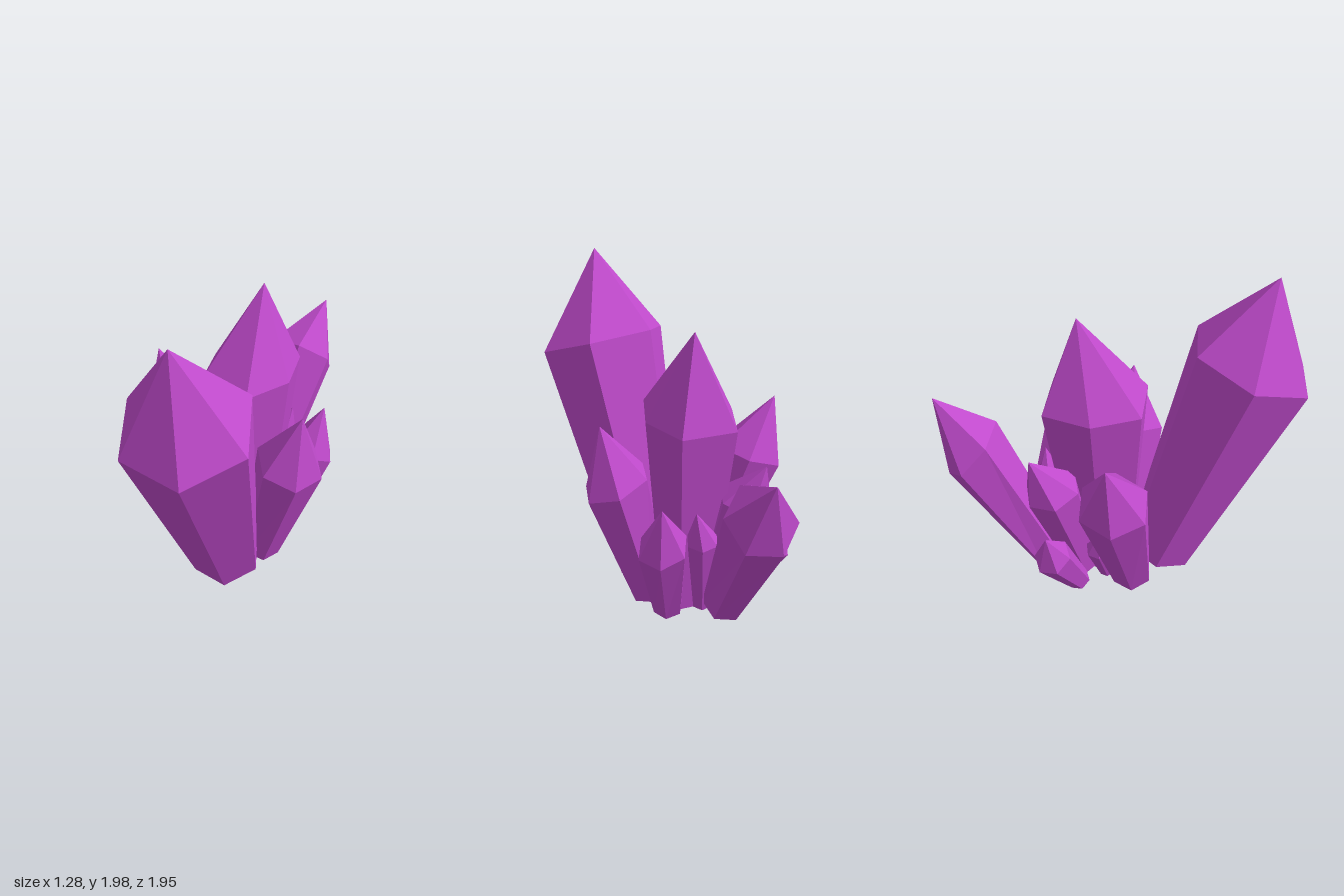
import * as THREE from 'three';

const SIDES = 6;

// Ring of corners around a centre, perpendicular to the normal n.
// dir = [x, z] heading of the first corner as seen from above.
function ring(centre, n, radius, dir, radii) {
  const u = new THREE.Vector3(dir[0], -(dir[0] * n.x + dir[1] * n.z) / n.y, dir[1]).normalize();
  const v = n.clone().cross(u);
  return Array.from({ length: SIDES }, (_, i) => {
    const a = (i / SIDES) * Math.PI * 2;
    const r = radius * (radii ? radii[i % radii.length] : 1);
    return centre.clone().addScaledVector(u, Math.cos(a) * r).addScaledVector(v, Math.sin(a) * r);
  });
}

// Tapered six-sided shaft with a leaning point and a closed base
function crystalGeometry({ base, shoulder, tip, rBase, rTop, dir, normal, radii }) {
  const b = new THREE.Vector3(...base);
  const s = new THREE.Vector3(...shoulder);
  const t = new THREE.Vector3(...tip);
  const axis = s.clone().sub(b).normalize();
  const topNormal = normal ? new THREE.Vector3(...normal).normalize() : axis;
  const low = ring(b, axis, rBase, dir, radii);
  const high = ring(s, topNormal, rTop, dir, radii);
  const points = [];
  for (let i = 0; i < SIDES; i++) {
    const j = (i + 1) % SIDES;
    points.push(low[i], low[j], high[j], low[i], high[j], high[i]); // shaft
    points.push(high[i], high[j], t); // point
    points.push(low[j], low[i], b); // base
  }
  const geometry = new THREE.BufferGeometry().setFromPoints(points);
  geometry.computeVertexNormals();
  return geometry;
}

const CRYSTALS = [
  { name: 'largeFrontCrystal', base: [-0.08, 0.095, 0.135], shoulder: [-0.295, 1.46, 0.61], tip: [-0.365, 2, 0.705],
    rBase: 0.22, rTop: 0.385, dir: [-0.04, 0.37] },
  { name: 'tallCentreCrystal', base: [0.07, 0.07, -0.17], shoulder: [0.085, 1.27, -0.2], tip: [0.157, 1.8, -0.268],
    rBase: 0.19, rTop: 0.33, dir: [0.047, -0.33], radii: [1, 0.8, 0.97] },
  { name: 'frontLeftCrystal', base: [0.14, 0.055, 0.025], shoulder: [0.293, 0.84, 0.165], tip: [0.35, 1.21, 0.23],
    rBase: 0.122, rTop: 0.208, dir: [0.02, 0.195], normal: [0.25, 1, 0.29] },
  { name: 'backRightCrystal', base: [-0.2, 0.1, -0.14], shoulder: [-0.37, 0.89, -0.37], tip: [-0.466, 1.245, -0.476],
    rBase: 0.125, rTop: 0.212, dir: [-0.19, 0.09], normal: [-0.3, 1, -0.2] },
  { name: 'backLeftCrystal', base: [0.17, 0.16, -0.49], shoulder: [0.45, 0.955, -0.83], tip: [0.613, 1.268, -0.975],
    rBase: 0.13, rTop: 0.218, dir: [0.18, 0], normal: [0.58, 1, -0.89] },
  { name: 'backCrystal', base: [0.06, 0.09, -0.33], shoulder: [0.03, 0.8, -0.54], tip: [0.045, 1.05, -0.67],
    rBase: 0.1, rTop: 0.168, dir: [-0.015, -0.16] },
  { name: 'smallBackCrystal', base: [-0.065, 0.09, -0.44], shoulder: [-0.135, 0.45, -0.65], tip: [-0.16, 0.63, -0.7],
    rBase: 0.07, rTop: 0.115, dir: [-0.015, -0.09] },
  { name: 'tinyBackCrystal', base: [-0.08, 0.08, -0.25], shoulder: [-0.17, 0.4, -0.36], tip: [-0.2, 0.52, -0.38],
    rBase: 0.045, rTop: 0.075, dir: [0, 1] },
  { name: 'leftCrystal', base: [0.285, 0.09, -0.175], shoulder: [0.475, 0.625, -0.25], tip: [0.543, 0.905, -0.285],
    rBase: 0.09, rTop: 0.15, dir: [0.015, -0.15], normal: [0.5, 1, -0.05] },
  { name: 'smallLeftCrystal', base: [0.2, 0.13, -0.36], shoulder: [0.305, 0.63, -0.41], tip: [0.36, 0.83, -0.4],
    rBase: 0.06, rTop: 0.095, dir: [0, -1] },
];

export function createModel() {
  const material = new THREE.MeshStandardMaterial({ color: 0xc04acc });
  material.name = 'crystalPurple';
  material.flatShading = true;

  const group = new THREE.Group();
  group.name = 'crystalCluster';
  for (const spec of CRYSTALS) {
    const mesh = new THREE.Mesh(crystalGeometry(spec), material);
    mesh.name = spec.name;
    group.add(mesh);
  }
  return group;
}
